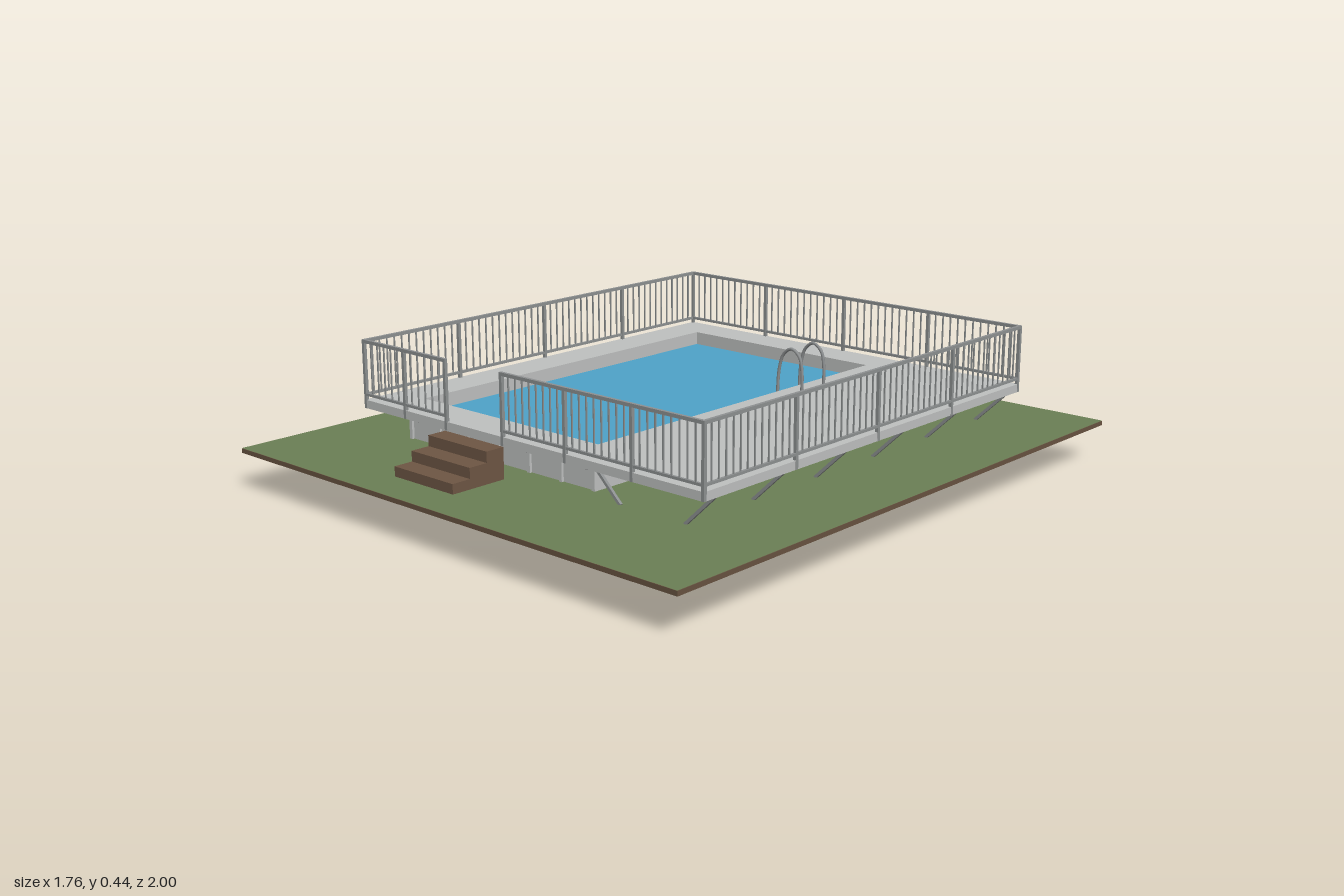
import * as THREE from 'three';
import { mergeGeometries } from 'three/addons/utils/BufferGeometryUtils.js';

const material = (name, color, side = THREE.FrontSide) => {
  const m = new THREE.MeshStandardMaterial({ color, side });
  m.name = name;
  return m;
};

// Main outlines on the ground plane: [x0, x1, z0, z1]
const GROUND = [-0.88, 0.88, -1, 1];
const DECK = [-0.685, 0.685, -0.81, 0.685];
const POOL = [-0.56, 0.182, -0.69, 0.557];
const WALL = [-0.588, 0.206, -0.712, 0.588];
const GROUND_TOP = 0.129, DECK_BOTTOM = 0.227, DECK_TOP = 0.253, RAIL_TOP = 0.44;

// Rectangle with the pool opening cut out
function ringShape([x0, x1, z0, z1]) {
  const corners = (a, b, c, d) => [[a, -d], [b, -d], [b, -c], [a, -c]].map(p => new THREE.Vector2(...p));
  const shape = new THREE.Shape(corners(x0, x1, z0, z1));
  shape.holes.push(new THREE.Path(corners(...POOL).reverse()));
  return shape;
}

function ring(rect, y0, y1) {
  return new THREE.ExtrudeGeometry(ringShape(rect), { depth: y1 - y0, bevelEnabled: false })
    .rotateX(-Math.PI / 2).translate(0, y0, 0);
}

function box(x0, x1, y0, y1, z0, z1) {
  return new THREE.BoxGeometry(x1 - x0, y1 - y0, z1 - z0)
    .translate((x0 + x1) / 2, (y0 + y1) / 2, (z0 + z1) / 2);
}

function poolPlane(y) {
  const [x0, x1, z0, z1] = POOL;
  return new THREE.PlaneGeometry(x1 - x0, z1 - z0).rotateX(-Math.PI / 2)
    .translate((x0 + x1) / 2, y, (z0 + z1) / 2);
}

// Square bar between two points
function bar(a, b, width) {
  const p = new THREE.Vector3(...a), q = new THREE.Vector3(...b);
  const dir = q.clone().sub(p);
  const turn = new THREE.Quaternion().setFromUnitVectors(new THREE.Vector3(0, 1, 0), dir.clone().normalize());
  const mid = p.add(q).multiplyScalar(0.5);
  return new THREE.BoxGeometry(width, dir.length(), width).applyQuaternion(turn).translate(mid.x, mid.y, mid.z);
}

// Straight fence run: posts, two rails and balusters
function fenceRun([ax, az], [bx, bz], spans) {
  const parts = [];
  const at = (t, y) => [ax + (bx - ax) * t, y, az + (bz - az) * t];
  const length = Math.hypot(bx - ax, bz - az);
  const perSpan = Math.round(length / spans / 0.029);
  const total = spans * perSpan;
  for (let i = 0; i <= total; i++) {
    const post = i % perSpan === 0;
    parts.push(bar(at(i / total, post ? DECK_BOTTOM : 0.268), at(i / total, RAIL_TOP), post ? 0.01 : 0.004));
  }
  parts.push(bar(at(0, RAIL_TOP - 0.005), at(1, RAIL_TOP - 0.005), 0.01));
  parts.push(bar(at(0, 0.27), at(1, 0.27), 0.008));
  return mergeGeometries(parts);
}

export function createModel() {
  const group = new THREE.Group();
  const add = (name, geometry, mat) => {
    const mesh = new THREE.Mesh(geometry, mat);
    mesh.name = name;
    group.add(mesh);
  };
  const grass = material('grass green', 0x6b7f55, THREE.DoubleSide);
  const soil = material('soil brown', 0x685340);
  const wood = material('step brown', 0x6e5644);
  const concrete = material('deck grey', 0xbfc1c0);
  const metal = material('rail grey', 0x8e9192);
  const water = material('water blue', 0x4fa3c9, THREE.DoubleSide);
  const floorBlue = material('pool floor blue', 0x2b68a3, THREE.DoubleSide);

  // Ground plate with lawn on top
  add('ground', ring(GROUND, 0.115, GROUND_TOP), soil);
  add('lawn', new THREE.ShapeGeometry(ringShape(GROUND)).rotateX(-Math.PI / 2).translate(0, GROUND_TOP + 0.001, 0), grass);

  // Pool
  add('poolFloor', poolPlane(0), floorBlue);
  add('waterSurface', poolPlane(0.21), water);
  add('poolWall', ring(WALL, GROUND_TOP, DECK_BOTTOM), concrete);
  add('deck', ring(DECK, DECK_BOTTOM, DECK_TOP), concrete);

  // Ribs on the front and back walls
  const ribs = [];
  for (let i = 0; i <= 6; i++) {
    const x = WALL[0] + 0.006 + i * (WALL[1] - WALL[0] - 0.012) / 6;
    ribs.push(box(x - 0.006, x + 0.006, GROUND_TOP, DECK_BOTTOM, WALL[3], WALL[3] + 0.008));
    ribs.push(box(x - 0.006, x + 0.006, GROUND_TOP, DECK_BOTTOM, WALL[2] - 0.008, WALL[2]));
  }
  add('wallRibs', mergeGeometries(ribs), concrete);

  // Braces under the overhanging deck
  const braces = [];
  for (let i = 0; i < 6; i++) {
    const z = 0.63 - i * 0.275;
    braces.push(bar([0.235, DECK_BOTTOM, z], [0.338, GROUND_TOP, z], 0.009));
    braces.push(bar([0.675, DECK_BOTTOM, z], [0.572, GROUND_TOP, z], 0.009));
    if (z < WALL[3] && z > WALL[2]) braces.push(bar([-0.64, DECK_BOTTOM, z], [WALL[0], 0.188, z], 0.009));
  }
  for (let i = 0; i < 4; i++) {
    const x = -0.55 + i * 0.24;
    braces.push(bar([x, DECK_BOTTOM, 0.638], [x, 0.188, WALL[3]], 0.008));
    braces.push(bar([x, DECK_BOTTOM, -0.762], [x, 0.188, WALL[2]], 0.008));
  }
  add('deckBraces', mergeGeometries(braces), metal);

  // Fence with an opening at the steps
  const [x0, x1, z0, z1] = [-0.681, 0.681, -0.806, 0.681];
  add('backFence', fenceRun([x0, z0], [x1, z0], 4), metal);
  add('leftFence', fenceRun([x1, z0], [x1, z1], 4), metal);
  add('rightFence', fenceRun([x0, z0], [x0, z1], 4), metal);
  add('frontFenceRight', fenceRun([x0, z1], [-0.31, z1], 2), metal);
  add('frontFenceLeft', fenceRun([-0.07, z1], [x1, z1], 3), metal);

  // Entry steps
  const heights = [0.225, 0.192, 0.16];
  heights.forEach((h, i) => {
    const z = 0.685 + i * 0.063;
    add('step' + (i + 1), box(-0.315, -0.065, GROUND_TOP, h, z, z + 0.063), wood);
  });

  // Pool ladder
  const rail = new THREE.CatmullRomCurve3([
    [0.257, 0.25], [0.257, 0.32], [0.246, 0.367], [0.215, 0.388], [0.184, 0.367],
    [0.168, 0.32], [0.162, 0.24], [0.16, 0.14], [0.16, 0.065], [0.165, 0.038], [0.177, 0.029],
  ].map(([x, y]) => new THREE.Vector3(x, y, 0)));
  const ladderZ = [-0.363, -0.254];
  for (const z of ladderZ) {
    add('ladderRail', new THREE.TubeGeometry(rail, 48, 0.005, 8).translate(0, 0, z), metal);
    add('ladderFoot', new THREE.CylinderGeometry(0.009, 0.009, 0.006, 12).translate(0.257, DECK_TOP + 0.003, z), metal);
  }
  for (const y of [0.09, 0.15]) add('ladderRung', box(0.15, 0.172, y - 0.003, y + 0.003, ...ladderZ), metal);

  return group;
}
